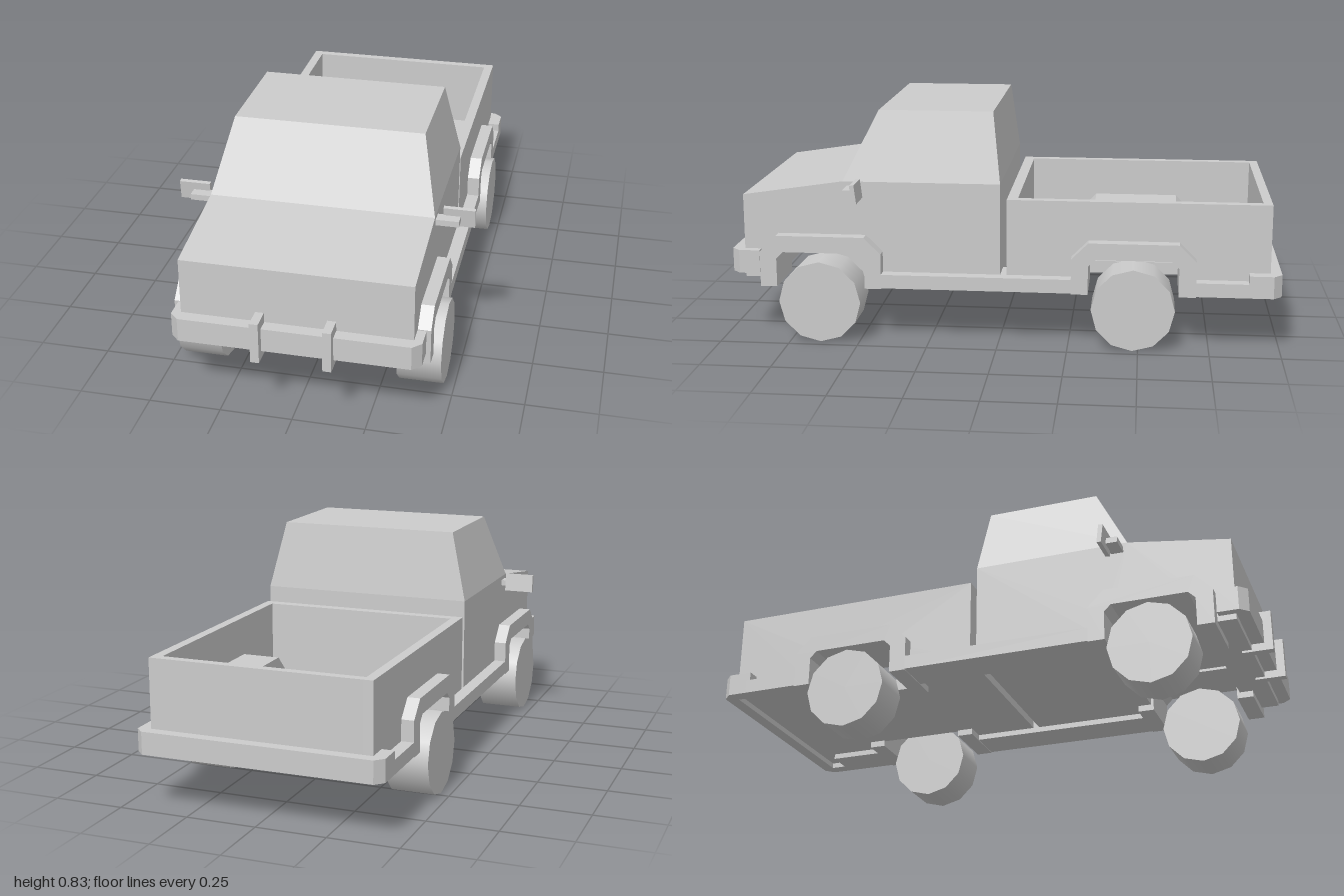
import * as THREE from 'three';

const material = new THREE.MeshStandardMaterial({ color: 0xcccccc, flatShading: true });
const smooth = new THREE.MeshStandardMaterial({ color: 0xcccccc });
const toShape = pts => new THREE.Shape(pts.map(p => new THREE.Vector2(p[0], p[1])));

export function createModel() {
  const model = new THREE.Group();

  const add = (name, geometry, mat = material) => {
    const mesh = new THREE.Mesh(geometry, mat);
    mesh.name = name;
    model.add(mesh);
    return mesh;
  };
  // Box given by its limits on each axis
  const box = (name, x0, x1, y0, y1, z0, z1) =>
    add(name, new THREE.BoxGeometry(x1 - x0, y1 - y0, z1 - z0)
      .translate((x0 + x1) / 2, (y0 + y1) / 2, (z0 + z1) / 2));
  // Side profile of [z, y] points, extruded across x
  const sideGeometry = (pts, x0, x1) =>
    new THREE.ExtrudeGeometry(toShape(pts), { depth: x1 - x0, bevelEnabled: false })
      .rotateY(-Math.PI / 2).translate(x1, 0, 0);
  // Plan of [x, z] points, extruded upwards
  const plan = (name, pts, y0, y1) =>
    add(name, new THREE.ExtrudeGeometry(toShape(pts.map(([x, z]) => [x, -z])),
      { depth: y1 - y0, bevelEnabled: false }).rotateX(-Math.PI / 2).translate(0, y0, 0));
  // The same span on the left (+x) and right (-x)
  const bothSides = (x0, x1, fn) => {
    fn('left', x0, x1, 1);
    fn('right', -x1, -x0, -1);
  };

  // Wheel arch outlines, running from front foot to rear foot
  const archOuter = z => [[z + 0.22, 0.197], [z + 0.22, 0.325], [z + 0.16, 0.385],
    [z - 0.16, 0.385], [z - 0.22, 0.325], [z - 0.22, 0.197]];
  const archInner = (z, g = 0, y = 0.197) => [[z + 0.16 + g, y], [z + 0.16 + g, 0.3 + g],
    [z + 0.135, 0.325 + g], [z - 0.135, 0.325 + g], [z - 0.16 - g, 0.3 + g], [z - 0.16 - g, y]];
  const frontZ = 0.64, rearZ = -0.48;

  // Cab and hood, cut through by the front wheel arch
  add('cabBody', sideGeometry([
    [-0.005, 0.22], [-0.005, 0.58], [0.56, 0.58], [0.925, 0.525], [0.925, 0.22],
    ...archInner(frontZ, 0.01, 0.22),
  ], -0.395, 0.395));

  // Upper cab, narrowing towards the roof
  const upper = sideGeometry([[-0.005, 0.58], [0.025, 0.83], [0.435, 0.83], [0.56, 0.58]], -0.395, 0.395);
  const pos = upper.attributes.position;
  for (let i = 0; i < pos.count; i++) {
    if (pos.getY(i) > 0.7) pos.setX(i, Math.sign(pos.getX(i)) * 0.335);
  }
  add('upperCab', upper);

  // Cargo bed: walls, and a floor notched for the wheels
  const bedFront = -0.028, bedBack = -0.96;
  bothSides(0.36, 0.395, (side, x0, x1) => add(side + 'BedWall', sideGeometry([
    [bedBack, 0.22], [bedBack, 0.525], [bedFront, 0.525], [bedFront, 0.22],
    ...archInner(rearZ, 0.01, 0.22),
  ], x0, x1)));
  box('bedFrontWall', -0.36, 0.36, 0.22, 0.525, -0.066, bedFront);
  box('tailgate', -0.36, 0.36, 0.22, 0.525, bedBack, -0.928);
  const notchF = rearZ + 0.17, notchB = rearZ - 0.17;
  plan('bedFloor', [
    [0.36, -0.066], [0.36, notchF], [0.23, notchF], [0.23, notchB], [0.36, notchB], [0.36, -0.928],
    [-0.36, -0.928], [-0.36, notchB], [-0.23, notchB], [-0.23, notchF], [-0.36, notchF], [-0.36, -0.066],
  ], 0.22, 0.265);

  // Wheel arches and wheels
  for (const [end, z] of [['Front', frontZ], ['Rear', rearZ]]) {
    bothSides(0.22, 0.44, (side, x0, x1) => add(side + end + 'WheelArch',
      sideGeometry([...archOuter(z), ...archInner(z).reverse()], x0, x1)));
    bothSides(0.31, 0.465, (side, x0, x1) => add(side + end + 'Wheel',
      new THREE.CylinderGeometry(0.148, 0.148, x1 - x0, 12)
        .rotateZ(Math.PI / 2).translate((x0 + x1) / 2, 0.15, z), smooth));
  }

  // Sills joining cab and bed, and running on to the rear bumper
  bothSides(0.295, 0.44, (side, x0, x1) => {
    box(side + 'Sill', x0, x1, 0.2, 0.25, rearZ + 0.22, frontZ - 0.22);
    box(side + 'RearSill', x0, x1, 0.2, 0.25, -0.9, rearZ - 0.22);
  });

  // Wrap-around bumpers with clipped corners
  const bumper = (name, w, inner, tip, face, outer, y0, y1) => {
    const c = 0.03, d = Math.sign(outer);
    plan(name, [[w, tip], [w, outer - d * c], [w - c, outer], [c - w, outer], [-w, outer - d * c],
      [-w, tip], [-inner, tip], [-inner, face], [inner, face], [inner, tip]], y0, y1);
  };
  bumper('frontBumper', 0.425, 0.39, 0.865, 0.92, 0.97, 0.24, 0.325);
  bumper('rearBumper', 0.44, 0.39, -0.885, -0.955, -1, 0.2, 0.28);
  bothSides(0.107, 0.137, (side, x0, x1) => box(side + 'BumperGuard', x0, x1, 0.212, 0.36, 0.89, 1));

  // Door mirrors on short arms
  bothSides(0.39, 0.475, (side, x0, x1) => box(side + 'MirrorArm', x0, x1, 0.544, 0.565, 0.5, 0.545));
  bothSides(0.415, 0.525, (side, x0, x1) => {
    const plate = add(side + 'Mirror', new THREE.BoxGeometry(x1 - x0, 0.068, 0.016));
    plate.position.set((x0 + x1) / 2, 0.56, 0.497);
    plate.rotation.x = 0.12;
  });

  return model;
}
